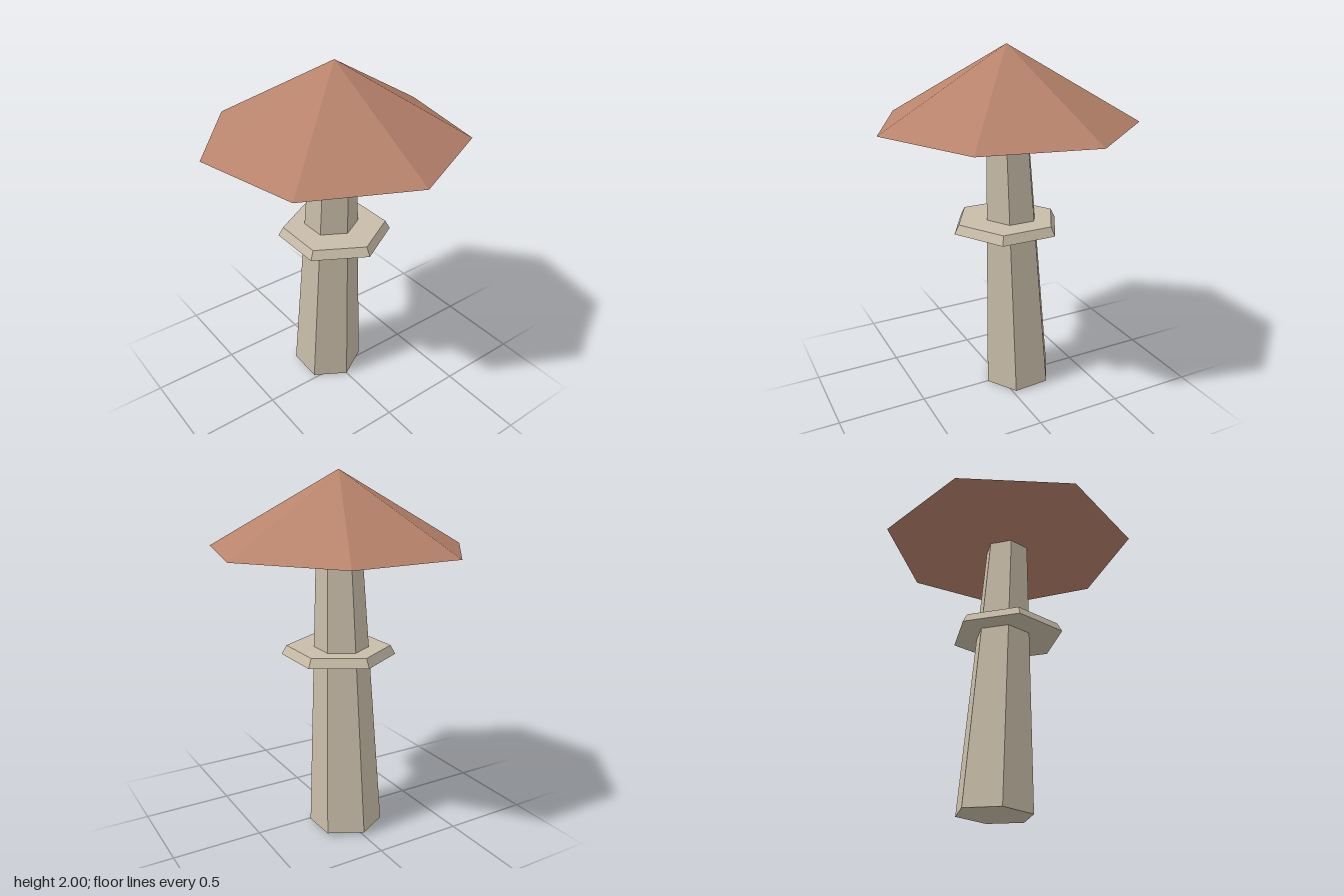
import * as THREE from 'three';

export function createModel() {
  const model = new THREE.Group();
  model.name = 'mushroom';

  const flesh = new THREE.MeshStandardMaterial({ name: 'pale flesh', color: 0xc8bca8, flatShading: true });
  const skin = new THREE.MeshStandardMaterial({ name: 'red brown skin', color: 0xb8836c, flatShading: true });

  // Faceted frustum with one corner pointing to +x, its base at the local origin
  const frustum = (name, material, rTop, rBottom, height, sides, openEnded = false) => {
    const geometry = new THREE.CylinderGeometry(rTop, rBottom, height, sides, 1, openEnded, Math.PI / 2);
    geometry.translate(0, height / 2, 0);
    const mesh = new THREE.Mesh(geometry, material);
    mesh.name = name;
    return mesh;
  };

  // Tapered stem, leaning slightly to +x
  const stem = frustum('stem', flesh, 0.123, 0.205, 1.6, 6);
  stem.position.set(-0.12, 0.0103, 0);
  stem.rotation.z = -0.05;

  // Collar around the stem
  const collar = frustum('collar', flesh, 0.29, 0.317, 0.05, 6);
  collar.position.set(-0.037, 1.0, 0);

  // Seven-sided cap with a shallow underside that dips to the middle
  const cap = new THREE.Group();
  cap.name = 'cap';
  cap.position.set(-0.035, 1.59, 0);
  const top = frustum('capTop', skin, 0, 0.715, 0.41, 7, true);
  const underside = frustum('capUnderside', skin, 0.715, 0, 0.027, 7, true);
  underside.position.y = -0.027;
  cap.add(top, underside);

  model.add(stem, collar, cap);
  return model;
}
